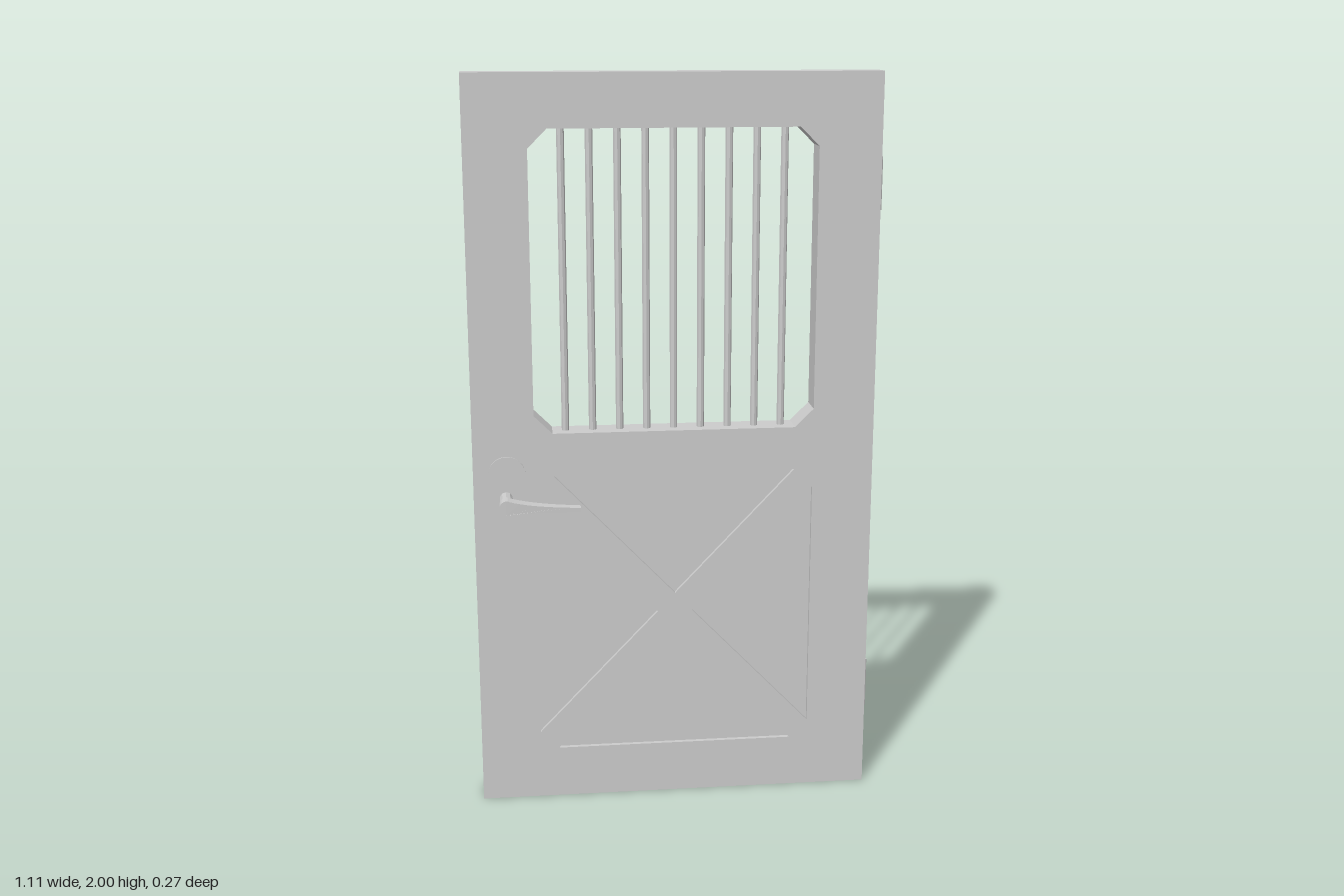
import * as THREE from 'three';

const material = new THREE.MeshStandardMaterial({ color: 0xcccccc, flatShading: true });

const toPoints = (pts) => pts.map(([x, y]) => new THREE.Vector2(x, y));

// Extrudes a shape symmetrically about z = 0
function slab(shape, depth) {
  const geo = new THREE.ExtrudeGeometry(shape, { depth, bevelEnabled: false, curveSegments: 10 });
  return geo.translate(0, 0, -depth / 2);
}

function add(parent, name, geometry) {
  const mesh = new THREE.Mesh(geometry, material);
  mesh.name = name;
  parent.add(mesh);
  return mesh;
}

// Lever outline: round hub on the left, slim grip toward the right
function leverGeometry() {
  const shape = new THREE.Shape();
  shape.moveTo(-0.467, 0.866);
  shape.quadraticCurveTo(-0.4, 0.873, -0.272, 0.867);
  shape.lineTo(-0.272, 0.879);
  shape.quadraticCurveTo(-0.4, 0.885, -0.46, 0.903);
  shape.absarc(-0.467, 0.885, 0.02, 1.2, Math.PI * 1.5, false);
  const geo = slab(shape, 0.036);
  // Thin the grip toward its tip
  const p = geo.attributes.position;
  for (let i = 0; i < p.count; i++) {
    const t = THREE.MathUtils.clamp((p.getX(i) + 0.45) / 0.178, 0, 1);
    p.setZ(i, p.getZ(i) * (1 - 0.36 * t));
  }
  geo.translate(0, 0, 0.118);
  geo.computeVertexNormals();
  return geo;
}

// Backplate outline: upright slot with rounded ends
function backplateGeometry() {
  const shape = new THREE.Shape();
  shape.absarc(-0.465, 0.95, 0.05, 0, Math.PI, false);
  shape.absarc(-0.465, 0.82, 0.05, Math.PI, Math.PI * 2, false);
  return slab(shape, 0.006).translate(0, 0, 0.041);
}

function createHandle(name) {
  const handle = new THREE.Group();
  handle.name = name;
  add(handle, 'backplate', backplateGeometry());
  const spindle = new THREE.CylinderGeometry(0.018, 0.018, 0.08, 10);
  spindle.rotateX(Math.PI / 2).translate(-0.468, 0.885, 0.08);
  add(handle, 'spindle', spindle);
  add(handle, 'lever', leverGeometry());
  return handle;
}

export function createModel() {
  const model = new THREE.Group();
  model.name = 'door';

  // Door leaf with a chamfered window and four triangular recesses
  const leaf = new THREE.Shape(toPoints([[-0.555, 0], [0.531, 0], [0.531, 2], [-0.555, 2]]));
  const [l, r, b, t, c] = [-0.39, 0.365, 1.06, 1.86, 0.05];
  const windowOutline = [
    [l + c, b], [l, b + c], [l, t - c], [l + c, t],
    [r - c, t], [r, t - c], [r, b + c], [r - c, b],
  ];
  const triangles = [
    [[-0.34, 0.942], [0.315, 0.942], [-0.012, 0.596]],
    [[-0.34, 0.146], [-0.012, 0.492], [0.315, 0.146]],
    [[-0.39, 0.197], [-0.39, 0.892], [-0.06, 0.544]],
    [[0.365, 0.197], [0.035, 0.544], [0.365, 0.892]],
  ];
  for (const outline of [windowOutline, ...triangles]) {
    leaf.holes.push(new THREE.Path(toPoints(outline)));
  }
  add(model, 'doorLeaf', slab(leaf, 0.08));

  // Sunken panels between the cross braces
  triangles.forEach((tri, i) => {
    add(model, `recessedPanel${i + 1}`, slab(new THREE.Shape(toPoints(tri)), 0.056));
  });

  // Window bars
  for (let i = 0; i < 9; i++) {
    const bar = add(model, `windowBar${i + 1}`, new THREE.CylinderGeometry(0.01, 0.01, t - b, 8, 1, true));
    bar.position.set(-0.012 + (i - 4) * 0.0731, (t + b) / 2, 0);
  }

  // Hinge knuckles on the back left edge
  for (const [name, y] of [['lowerHinge', 0.273], ['upperHinge', 1.705]]) {
    const hinge = add(model, name, new THREE.CylinderGeometry(0.018, 0.018, 0.142, 8));
    hinge.position.set(0.534, y, -0.04);
    hinge.rotation.y = Math.PI / 8;
  }

  // Matching lever handles on both faces; the rear one is mirrored in z
  model.add(createHandle('frontHandle'));
  const rear = createHandle('rearHandle');
  rear.scale.z = -1;
  model.add(rear);

  return model;
}
